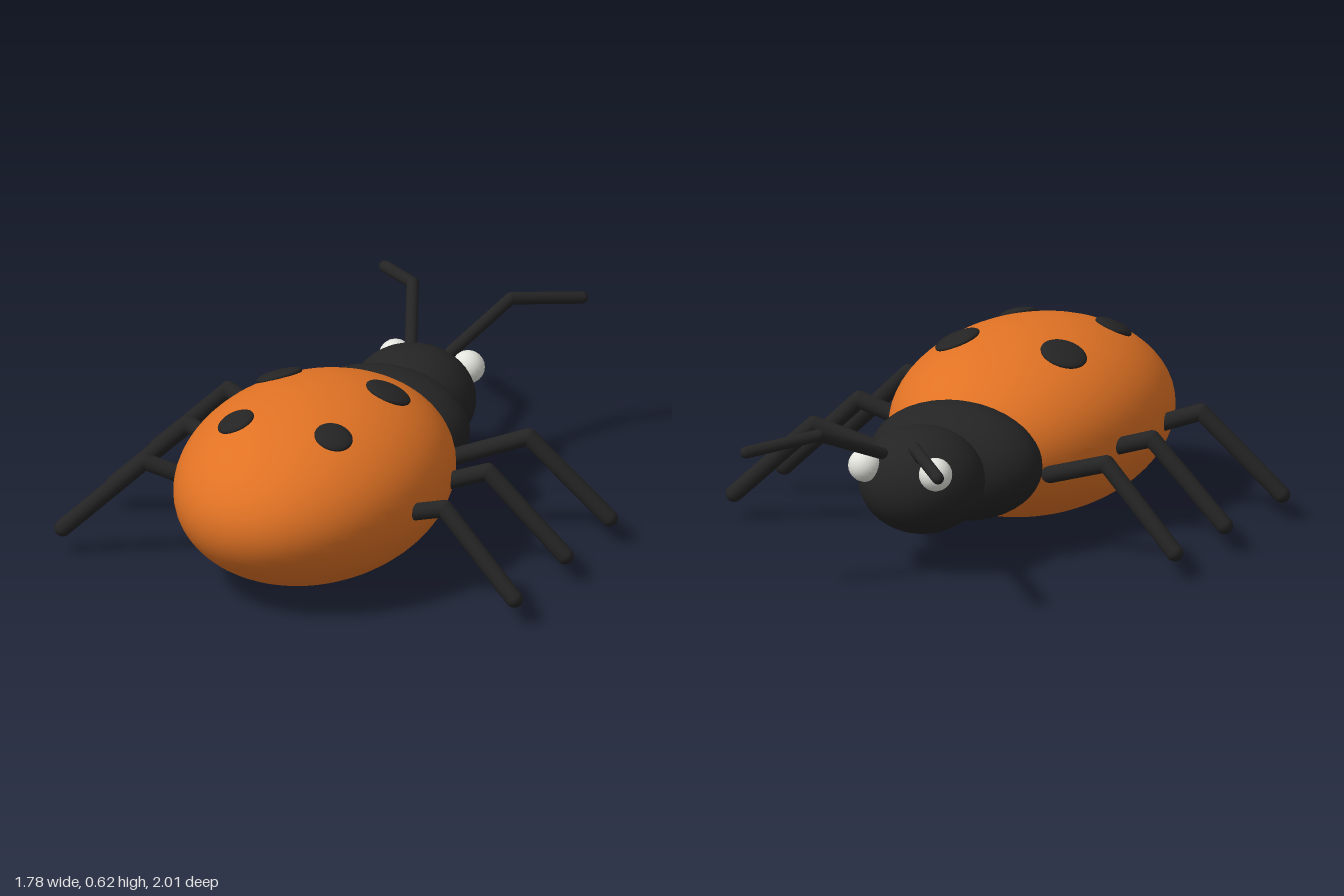
import * as THREE from 'three';

const shellOrange = new THREE.MeshStandardMaterial({ color: 0xe07224 });
shellOrange.name = 'shellOrange';
const black = new THREE.MeshStandardMaterial({ color: 0x242424 });
black.name = 'black';
const eyeWhite = new THREE.MeshStandardMaterial({ color: 0xe4e4de });
eyeWhite.name = 'eyeWhite';

const UP = new THREE.Vector3(0, 1, 0);

// Sphere stretched to the given half sizes
function ellipsoid(name, material, pos, half, segments = 48) {
  const mesh = new THREE.Mesh(new THREE.SphereGeometry(1, segments, segments / 2), material);
  mesh.name = name;
  mesh.position.set(...pos);
  mesh.scale.set(...half);
  return mesh;
}

// Chain of round-ended rods through the points
function limb(name, points, radius) {
  const group = new THREE.Group();
  group.name = name;
  const pts = points.map((p) => new THREE.Vector3(...p));
  for (let i = 0; i + 1 < pts.length; i++) {
    const dir = pts[i + 1].clone().sub(pts[i]);
    const rod = new THREE.Mesh(new THREE.CapsuleGeometry(radius, dir.length(), 6, 14), black);
    rod.name = name + 'Segment';
    rod.position.copy(pts[i]).addScaledVector(dir, 0.5);
    rod.quaternion.setFromUnitVectors(UP, dir.normalize());
    group.add(rod);
  }
  return group;
}

export function createModel() {
  const model = new THREE.Group();
  model.name = 'beetle';

  // The beetle heads along its own -z and is turned slightly
  const bug = new THREE.Group();
  bug.name = 'beetleBody';
  bug.position.set(0.04, 0, 0.43);
  bug.rotation.y = THREE.MathUtils.degToRad(15);
  model.add(bug);

  const shellCentre = [0, 0.311, 0];
  const shellHalf = [0.428, 0.308, 0.579];
  bug.add(ellipsoid('shell', shellOrange, shellCentre, shellHalf, 64));
  bug.add(ellipsoid('thorax', black, [0, 0.295, -0.549], [0.296, 0.193, 0.191]));
  bug.add(ellipsoid('head', black, [0, 0.295, -0.797], [0.206, 0.175, 0.196]));

  for (const side of [1, -1]) {
    const label = side > 0 ? 'right' : 'left';

    // Eyes and bent antennae
    bug.add(ellipsoid(label + 'Eye', eyeWhite, [side * 0.127, 0.365, -0.953], [0.054, 0.054, 0.054], 24));
    bug.add(limb(label + 'Antenna', [
      [side * 0.07, 0.41, -0.945], [side * 0.172, 0.52, -1.197], [side * 0.344, 0.486, -1.373],
    ], 0.02));

    // Three legs: base, knee and foot z
    [['Front', -0.455, -0.52, -0.56], ['Middle', -0.155, -0.19, -0.2], ['Rear', 0.1, 0.165, 0.213]]
      .forEach(([place, base, knee, foot]) => bug.add(limb(label + place + 'Leg', [
        [side * 0.29, 0.26, base], [side * 0.525, 0.342, knee], [side * 0.79, 0.088, foot],
      ], 0.028)));

    // Flat spots lying on the shell surface
    [[0.191, -0.155, 0.077], [0.171, 0.244, 0.063]].forEach(([sx, z, r]) => {
      const x = side * sx;
      const [a, b, c] = shellHalf;
      const y = b * Math.sqrt(1 - (x / a) ** 2 - (z / c) ** 2);
      const spot = ellipsoid('spot', black, [x, shellCentre[1] + y, z], [r, 0.02, r], 32);
      const normal = new THREE.Vector3(x / a ** 2, y / b ** 2, z / c ** 2).normalize();
      spot.quaternion.setFromUnitVectors(UP, normal);
      bug.add(spot);
    });
  }
  return model;
}
